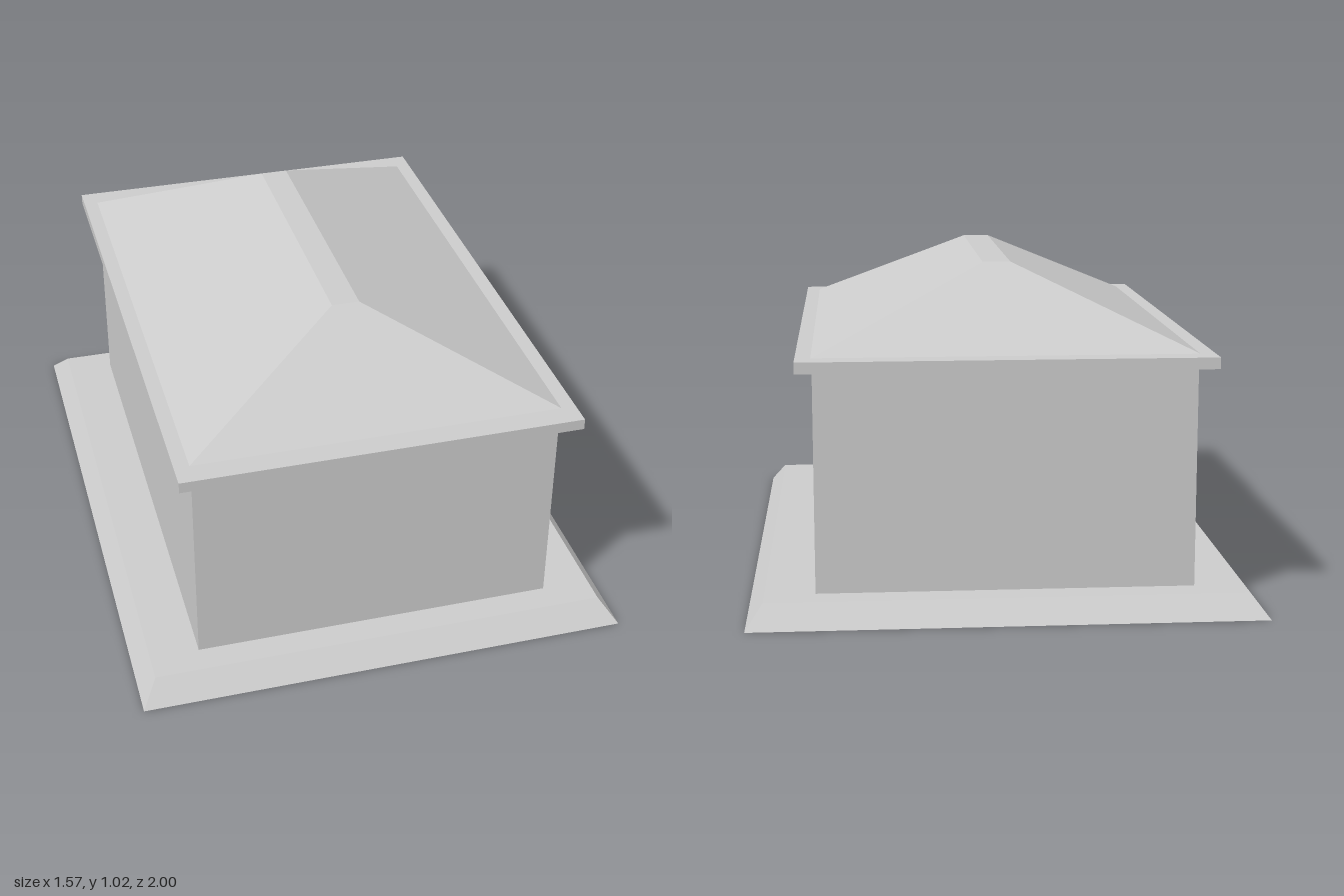
import * as THREE from 'three';

const material = new THREE.MeshStandardMaterial({ color: 0xcccccc, flatShading: true });

// Rectangular block from y0 to y1 whose top may be smaller than its base (half sizes [x, z])
function taperedBlock(name, y0, y1, base, top = base) {
  const geometry = new THREE.BoxGeometry(2, 2, 2);
  const p = geometry.attributes.position;
  for (let i = 0; i < p.count; i++) {
    const isTop = p.getY(i) > 0;
    const [hx, hz] = isTop ? top : base;
    p.setXYZ(i, p.getX(i) * hx, isTop ? y1 : y0, p.getZ(i) * hz);
  }
  geometry.computeVertexNormals();
  const mesh = new THREE.Mesh(geometry, material);
  mesh.name = name;
  return mesh;
}

export function createModel() {
  const model = new THREE.Group();
  model.name = 'hippedRoofBuilding';
  model.add(
    // Sloped-edge foundation
    taperedBlock('plinth', 0, 0.067, [0.783, 1], [0.732, 0.933]),
    // Plain walls
    taperedBlock('walls', 0.067, 0.75, [0.577, 0.845]),
    // Overhanging slab under the roof
    taperedBlock('eaves', 0.75, 0.785, [0.627, 0.92]),
    // Hipped roof with a narrow flat ridge
    taperedBlock('roof', 0.785, 1.025, [0.58, 0.845], [0.044, 0.461]),
  );
  return model;
}
